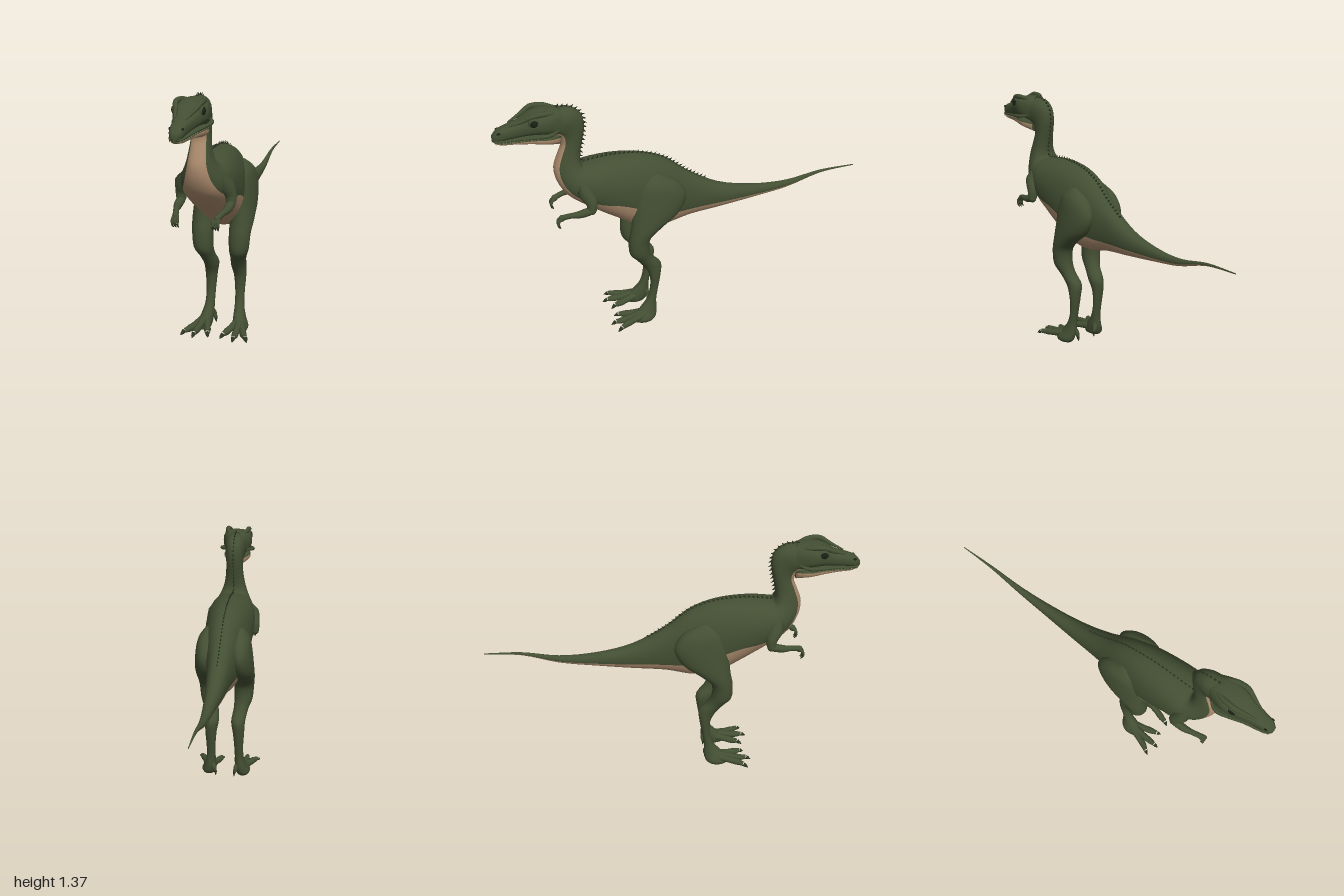
import * as THREE from 'three';

const paint = (name, color) => Object.assign(new THREE.MeshStandardMaterial({ color }), { name });
const V = (x, y, z) => new THREE.Vector3(x, y, z);

// Station: [upperZ, upperY, lowerZ, lowerY, centreX, halfWidth, bellyAngle in degrees]
function curvesOf(stations) {
  return {
    upper: new THREE.CatmullRomCurve3(stations.map(s => V(0, s[1], s[0]))),
    lower: new THREE.CatmullRomCurve3(stations.map(s => V(0, s[3], s[2]))),
    extra: new THREE.CatmullRomCurve3(stations.map(s => V(s[4], s[5], (s[6] ?? 65) / 60)), false, 'catmullrom', 0.5),
  };
}

// Skin of rounded cross-sections; group 0 is the back, group 1 the belly
function loft(stations, { side = 1, power = 0.9, steps = 4 } = {}) {
  const { upper, lower, extra } = curvesOf(stations);
  const N = 28, K = 5, H = N / 2, rings = (stations.length - 1) * steps;
  const pos = [], back = [], belly = [];
  const bend = v => Math.sign(v) * Math.abs(v) ** power;
  for (let i = 0; i <= rings; i++) {
    const t = i / rings, a = upper.getPoint(t), b = lower.getPoint(t), e = extra.getPoint(t);
    const ang = THREE.MathUtils.degToRad(e.z * 60);
    for (let j = 0; j < N; j++) {
      const k = j <= H ? j : N - j;
      const th = k <= K ? ang * k / K : ang + (Math.PI - ang) * (k - K) / (H - K);
      const x = e.x + (j <= H ? 1 : -1) * e.y * bend(Math.abs(Math.sin(th)));
      const p = a.clone().lerp(b, (1 + bend(Math.cos(th))) / 2);
      pos.push(side * x, p.y, p.z);
    }
  }
  const tri = (list, a, b, c) => side > 0 ? list.push(a, b, c) : list.push(a, c, b);
  for (let i = 0; i < rings; i++) for (let j = 0; j < N; j++) {
    const list = j < K || j >= N - K ? belly : back;
    const a = i * N + j, b = i * N + (j + 1) % N;
    tri(list, a, b, a + N);
    tri(list, b, b + N, a + N);
  }
  const end = rings * N;
  for (let j = 1; j < N - 1; j++) {
    tri(back, 0, j + 1, j);
    tri(back, end, end + j, end + j + 1);
  }
  const g = new THREE.BufferGeometry();
  g.setAttribute('position', new THREE.Float32BufferAttribute(pos, 3));
  g.setIndex([...back, ...belly]);
  g.addGroup(0, back.length, 0);
  g.addGroup(back.length, belly.length, 1);
  g.computeVertexNormals();
  return g;
}

// Tube whose radius follows a list of values; side mirrors the path
function taper(points, radii, side = 1) {
  const curve = new THREE.CatmullRomCurve3(points.map(p => V(side * p[0], p[1], p[2])));
  const n = 14, m = 10, g = new THREE.TubeGeometry(curve, n, 1, m), p = g.attributes.position, v = V(0, 0, 0);
  for (let i = 0; i <= n; i++) {
    const c = curve.getPointAt(i / n), f = i / n * (radii.length - 1), k = Math.min(Math.floor(f), radii.length - 2);
    const r = THREE.MathUtils.lerp(radii[k], radii[k + 1], f - k);
    for (let j = 0; j <= m; j++) {
      const q = i * (m + 1) + j;
      v.fromBufferAttribute(p, q).sub(c).multiplyScalar(r).add(c);
      p.setXYZ(q, v.x, v.y, v.z);
    }
  }
  return g;
}

const BODY = [
  [-1, .75, -1, .744, 0, .002, 70], [-.8, .746, -.8, .73, 0, .008, 75],
  [-.6, .713, -.6, .674, 0, .018, 75], [-.4, .721, -.4, .646, 0, .032, 75],
  [-.2, .768, -.2, .622, 0, .05, 70], [-.02, .872, -.02, .602, 0, .07, 60],
  [.11, .975, .13, .57, 0, .1, 65], [.24, 1.022, .25, .585, 0, .125, 75],
  [.39, 1.036, .38, .665, 0, .135, 75], [.5, 1.027, .52, .76, 0, .132, 62],
  [.55, 1.022, .64, .85, 0, .108, 55], [.56, 1.05, .69, .935, 0, .08, 50],
  [.555, 1.1, .7, 1.01, 0, .06, 50], [.54, 1.17, .675, 1.085, 0, .05, 50],
  [.53, 1.24, .655, 1.14, 0, .048, 50], [.543, 1.3, .665, 1.175, 0, .052, 55],
  [.59, 1.34, .69, 1.19, 0, .06, 60], [.66, 1.352, .71, 1.2, 0, .06, 60],
];
const SKULL = [
  [.62, 1.34, .62, 1.19, 0, .048], [.68, 1.353, .68, 1.21, 0, .07], [.74, 1.351, .74, 1.226, 0, .084],
  [.8, 1.338, .8, 1.229, 0, .073], [.86, 1.305, .86, 1.223, 0, .053], [.92, 1.286, .92, 1.214, 0, .041],
  [.97, 1.266, .97, 1.208, 0, .033], [.996, 1.238, .996, 1.212, 0, .016],
];
const JAW = [
  [.65, 1.23, .66, 1.15, 0, .045, 100], [.72, 1.235, .72, 1.168, 0, .078, 100], [.8, 1.228, .8, 1.18, 0, .064, 100],
  [.88, 1.215, .88, 1.186, 0, .044, 95], [.95, 1.208, .95, 1.188, 0, .032, 90], [.984, 1.206, .984, 1.194, 0, .014, 90],
];
const LEG = [
  [.2, .93, .16, .93, .09, .012], [.27, .88, .06, .87, .09, .053], [.3, .8, .018, .79, .096, .062],
  [.315, .7, .055, .7, .1, .065], [.325, .62, .15, .625, .103, .062], [.338, .55, .218, .56, .101, .057],
  [.335, .46, .226, .48, .097, .052], [.298, .41, .205, .42, .086, .042], [.255, .35, .158, .36, .076, .04],
  [.225, .29, .162, .29, .08, .033], [.222, .2, .178, .2, .081, .026], [.245, .125, .19, .12, .083, .026],
  [.29, .07, .19, .06, .09, .034], [.325, .03, .2, .02, .1, .042], [.325, .006, .215, .003, .1, .036],
];
const LIP = [[.055, 1.25, .66], [.091, 1.243, .715], [.076, 1.233, .79], [.053, 1.224, .86], [.039, 1.216, .93], [.022, 1.211, .982], [0, 1.211, .993]];

export function createModel() {
  const green = paint('green skin', 0x434f33), tan = paint('tan belly', 0xaa8a6c);
  const dark = paint('dark scales and claws', 0x2b3222), black = paint('eye black', 0x1b2016);
  const ivory = paint('ivory teeth', 0xb9a184);
  const model = new THREE.Group();
  const add = (name, geo, mat, parent = model) => {
    const m = new THREE.Mesh(geo, mat);
    m.name = name;
    parent.add(m);
    return m;
  };
  const ball = (name, r, at, scale, mat, parent) => {
    const m = add(name, new THREE.SphereGeometry(r, 20, 14), mat, parent);
    m.position.set(...at);
    m.scale.set(...scale);
    return m;
  };

  // Tail, trunk and neck in one skin
  add('body', loft(BODY), [green, tan]);

  // Head
  const head = new THREE.Group();
  head.name = 'head';
  model.add(head);
  add('skull', loft(SKULL, { power: 0.75 }), [green, green], head);
  add('lowerJaw', loft(JAW, { power: 0.85 }), [green, tan], head);

  // Row of small spines along the back and neck
  const ridge = new THREE.Group();
  ridge.name = 'backSpines';
  model.add(ridge);
  const top = curvesOf(BODY).upper, count = 86;
  for (let i = 0; i <= count; i++) {
    const p = top.getPointAt(i / count), t = top.getTangentAt(i / count);
    if (p.z < -.12) continue;
    const spine = add('spine', new THREE.ConeGeometry(.009, .026, 6), dark, ridge);
    spine.position.copy(p).add(V(0, t.z, -t.y).multiplyScalar(.006));
    spine.quaternion.setFromUnitVectors(V(0, 1, 0), V(0, t.z - .4 * t.y, -t.y - .4 * t.z).normalize());
    spine.scale.x = .6;
  }

  for (const s of [1, -1]) {
    const label = s > 0 ? 'left' : 'right';
    const group = name => {
      const g = new THREE.Group();
      g.name = label + name;
      model.add(g);
      return g;
    };

    // Face: brow crest, eye, nostril, lip and teeth
    const face = group('Face');
    add('browCrest', taper([[.035, 1.335, .66], [.056, 1.346, .73], [.06, 1.344, .79], [.045, 1.318, .84], [.025, 1.288, .91]],
      [.004, .014, .014, .01, .003], s), green, face);
    ball('eyeSocket', .033, [s * .062, 1.308, .785], [.5, .9, 1], green, face);
    ball('eye', .022, [s * .071, 1.308, .788], [.5, .9, 1], black, face);
    ball('nostril', .009, [s * .031, 1.258, .963], [.5, .7, 1.2], black, face);
    add('lip', taper(LIP, [.004, .011, .008, .007, .006, .006], s), green, face);
    const lip = new THREE.CatmullRomCurve3(LIP.map(p => V(s * p[0], p[1], p[2])));
    for (let i = 0; i < 15; i++) {
      const tooth = add('tooth', new THREE.ConeGeometry(.004, .013, 5), ivory, face);
      tooth.position.copy(lip.getPointAt(.25 + i * .048)).add(V(s * .002, -.01, 0));
      tooth.rotation.x = Math.PI;
    }

    // Hind leg with three front toes and a rear one
    const leg = group('Leg');
    add('thighAndShin', loft(LEG, { side: s, power: 1 }), [green, green], leg);
    const toes = [
      [[.105, .045, .26], [.13, .034, .33], [.152, .028, .385], [.168, .026, .41], [.182, .01, .435]],
      [[.098, .05, .27], [.104, .034, .35], [.107, .027, .4], [.108, .028, .43], [.11, .012, .458]],
      [[.085, .045, .26], [.064, .033, .33], [.05, .027, .375], [.043, .027, .4], [.032, .01, .425]],
    ];
    for (const t of toes) {
      add('toe', taper(t.slice(0, 4), [.024, .021, .018, .019, .012], s), green, leg);
      add('toeClaw', taper(t.slice(3), [.012, .009, .001], s), dark, leg);
    }
    add('rearToe', taper([[.075, .085, .215], [.064, .055, .2], [.058, .035, .2]], [.014, .014, .01], s), green, leg);
    add('rearClaw', taper([[.058, .037, .2], [.055, .02, .202], [.054, .003, .196]], [.01, .007, .001], s), dark, leg);

    // Small arm with three clawed fingers
    const arm = group('Arm');
    add('upperArm', taper([[.085, .95, .575], [.112, .89, .555], [.127, .84, .535], [.13, .797, .535]], [.02, .044, .033, .024], s), green, arm);
    ball('elbow', .024, [s * .13, .797, .537], [.9, 1, 1], green, arm);
    add('forearm', taper([[.13, .797, .537], [.127, .782, .6], [.117, .776, .65], [.106, .765, .69]], [.023, .022, .015, .015], s), green, arm);
    ball('palm', .017, [s * .105, .762, .692], [.9, 1.1, 1], green, arm);
    for (const d of [-1, 0, 1]) {
      const x = .103 + d * .013;
      add('finger', taper([[.105 + d * .007, .763, .692], [x, .747, .71], [x, .728, .714]], [.009, .008, .007], s), green, arm);
      add('fingerClaw', taper([[x, .73, .714], [x - .001, .717, .711], [x - .003, .704, .7]], [.007, .005, .001], s), dark, arm);
    }
  }
  return model;
}
